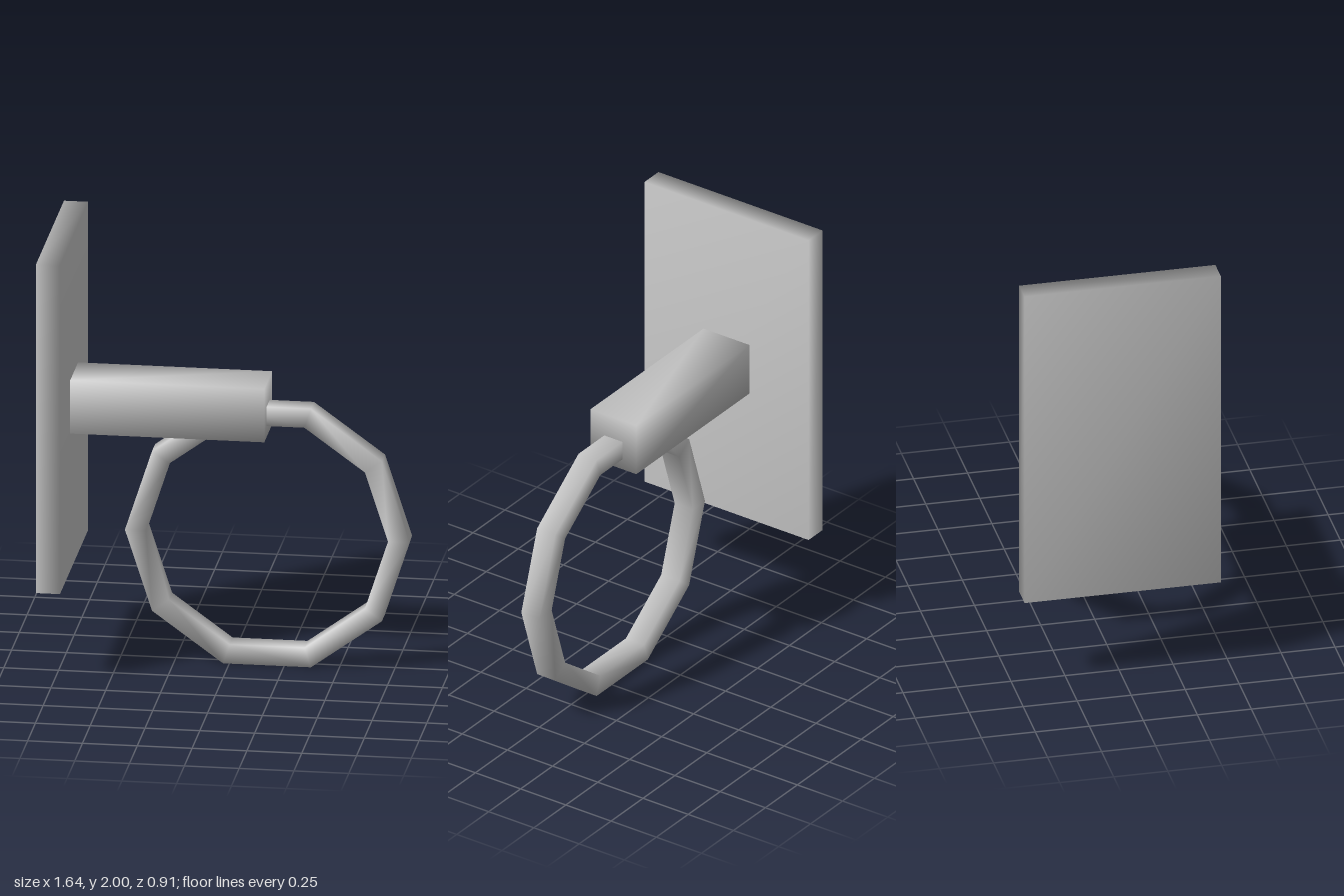
import * as THREE from 'three';
import { mergeVertices } from 'three/addons/utils/BufferGeometryUtils.js';

// Share corner vertices so the shading blends softly across the edges.
function soften(geometry) {
  geometry.deleteAttribute('uv');
  geometry.deleteAttribute('normal');
  const merged = mergeVertices(geometry);
  merged.computeVertexNormals();
  return merged;
}

export function createModel() {
  const group = new THREE.Group();
  const metal = new THREE.MeshStandardMaterial({ color: 0xcccccc });
  metal.name = 'light grey metal';

  function add(name, geometry, x, y, z) {
    const mesh = new THREE.Mesh(soften(geometry), metal);
    mesh.name = name;
    mesh.position.set(x, y, z);
    group.add(mesh);
    return mesh;
  }

  // Tall plate and the square arm standing out from it
  add('wallPlate', new THREE.BoxGeometry(0.11, 1.566, 0.908), -0.77, 1.217, 0);
  add('arm', new THREE.BoxGeometry(0.885, 0.254, 0.254), -0.272, 1.217, 0);

  // Ten-sided ring with a square section, hanging through the arm
  const inner = 0.552, outer = 0.648, half = 0.05;
  const section = [
    [inner, -half], [outer, -half], [outer, half], [inner, half], [inner, -half],
  ].map(([r, h]) => new THREE.Vector2(r, h));
  const ring = new THREE.LatheGeometry(section, 10, Math.PI / 2);
  ring.rotateX(Math.PI / 2);
  add('ring', ring, 0.172, 0.617, 0);

  return group;
}
